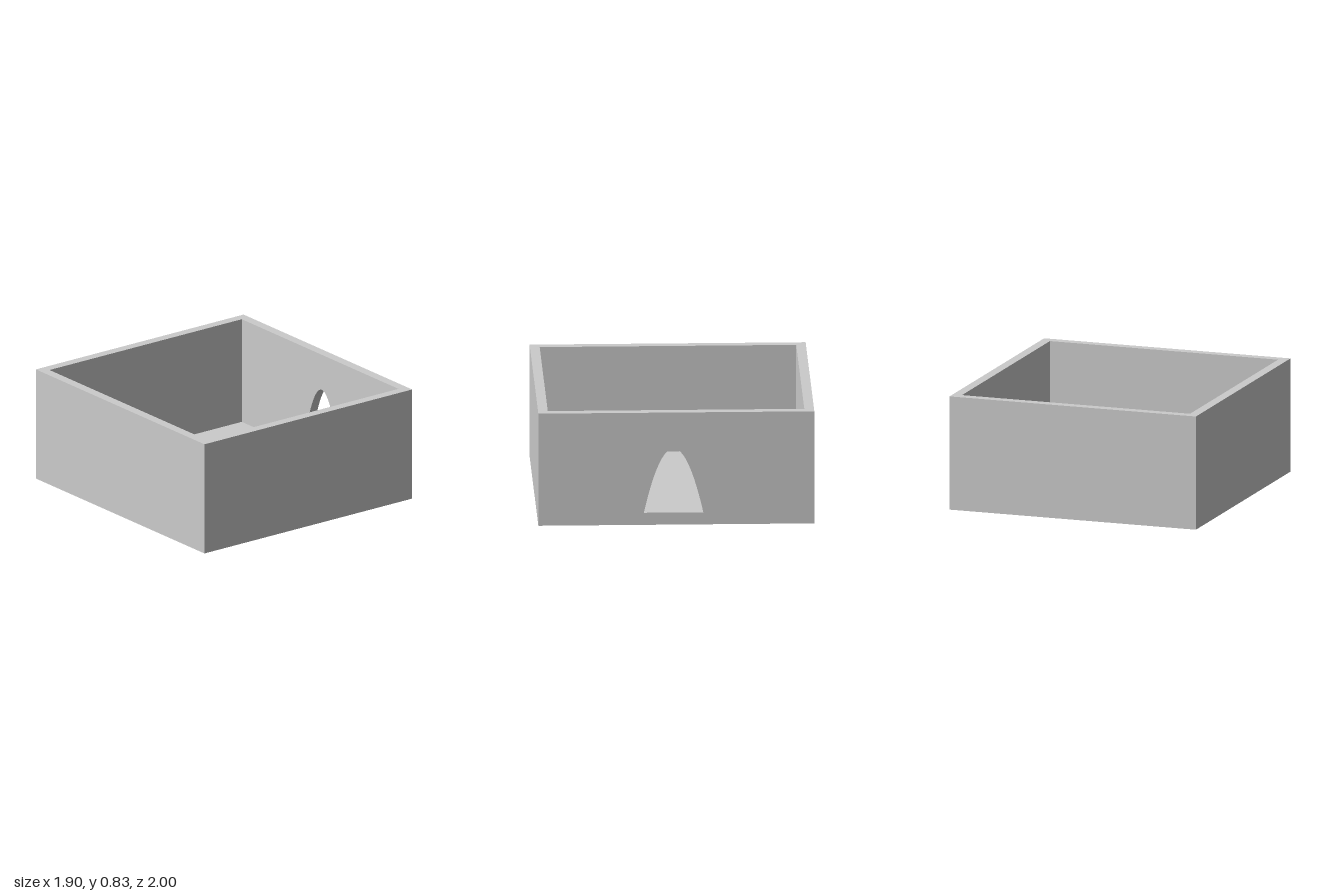
import * as THREE from 'three';

const W = 1.885, D = 1.985, H = 0.835; // outer size
const T = 0.07;                        // wall thickness
const FLOOR = 0.05, SILL = 0.09;       // floor and threshold heights
const hx = W / 2, hz = D / 2;

const material = new THREE.MeshStandardMaterial({ color: 0xcccccc, flatShading: true });

function shapeOf(points) {
  return new THREE.Shape(points.map(([x, y]) => new THREE.Vector2(x, y)));
}

// Extrudes a plan outline (x, -z) upwards from y = 0
function extrudeUp(points, height) {
  const g = new THREE.ExtrudeGeometry(shapeOf(points), { depth: height, bevelEnabled: false });
  return g.rotateX(-Math.PI / 2);
}

function addPart(group, name, geometry) {
  const mesh = new THREE.Mesh(geometry, material);
  mesh.name = name;
  group.add(mesh);
  return mesh;
}

export function createModel() {
  const group = new THREE.Group();
  group.name = 'openBox';

  // Back, front and closed side wall as one U-shaped plan
  const inner = hx - T;
  addPart(group, 'threeWalls', extrudeUp([
    [inner, -hz], [inner, -hz + T], [-inner, -hz + T], [-inner, hz - T],
    [inner, hz - T], [inner, hz], [-hx, hz], [-hx, -hz],
  ], H));

  // Side wall pierced by a parabolic doorway
  const wall = shapeOf([[-hz, 0], [hz, 0], [hz, H], [-hz, H]]);
  const arch = [];
  const halfWidth = 0.214, rise = 0.477, steps = 40;
  for (let i = 0; i <= steps; i++) {
    const t = -1 + (2 * i) / steps;
    arch.push(new THREE.Vector2(-0.02 + halfWidth * t, SILL + rise * (1 - t * t)));
  }
  wall.holes.push(new THREE.Path(arch));
  const wallGeometry = new THREE.ExtrudeGeometry(wall, { depth: T, bevelEnabled: false });
  wallGeometry.rotateY(Math.PI / 2).translate(inner, 0, 0);
  addPart(group, 'doorwayWall', wallGeometry);

  // Floor slab between the walls
  const floor = new THREE.BoxGeometry(W - 2 * T, FLOOR, D - 2 * T);
  addPart(group, 'floor', floor.translate(0, FLOOR / 2, 0));

  // Raised step inside the doorway, flush with its sill
  const s0 = 0.755, sz = 0.36, c = 0.007;
  const step = addPart(group, 'doorStep', extrudeUp([
    [inner, -sz], [inner, sz], [s0 + c, sz], [s0, sz - c], [s0, -sz + c], [s0 + c, -sz],
  ], SILL - FLOOR));
  step.position.y = FLOOR;

  // The whole box sits very slightly turned
  group.rotation.y = -0.0085;
  return group;
}
